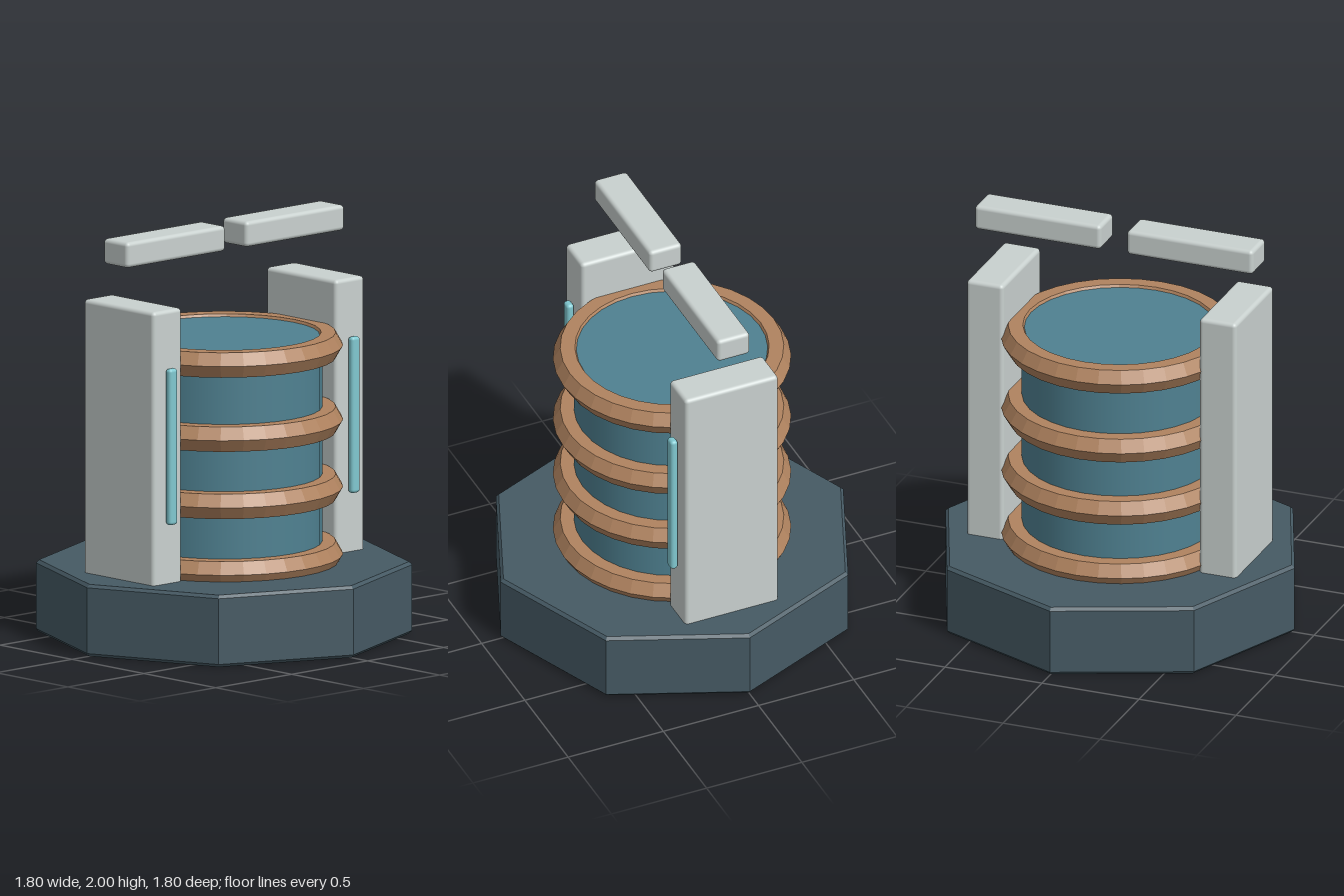
import * as THREE from 'three';
import { RoundedBoxGeometry } from 'three/addons/geometries/RoundedBoxGeometry.js';

export function createModel() {
  const model = new THREE.Group();
  const paint = (color, flatShading = false) => new THREE.MeshStandardMaterial({ color, flatShading });
  const stone = paint(0x465a64, true);
  const glass = paint(0x4f8191);
  const copper = paint(0xb0835f, true);
  const shell = paint(0xc9d1cf);
  const glow = paint(0x80c8d0);

  const add = (name, geometry, material, x, y, z) => {
    const mesh = new THREE.Mesh(geometry, material);
    mesh.name = name;
    mesh.position.set(x, y, z);
    model.add(mesh);
    return mesh;
  };

  // Octagonal base with a small chamfer on its rims
  const baseProfile = [[0, 0], [0.885, 0], [0.9, 0.015], [0.9, 0.335], [0.885, 0.35], [0, 0.35]]
    .map(([r, y]) => new THREE.Vector2(r, y));
  add('base', new THREE.LatheGeometry(baseProfile, 8), stone, 0, 0, 0);

  // Central drum
  add('core', new THREE.CylinderGeometry(0.47, 0.47, 1.1, 32), glass, 0, 0.9, 0);

  // Coil rings with a hexagonal section
  const ringGeometry = new THREE.TorusGeometry(0.5, 0.07, 6, 32).rotateX(Math.PI / 2);
  [0.386, 0.714, 1.041, 1.402].forEach((y, i) => add('coilRing' + (i + 1), ringGeometry, copper, 0, y, 0));

  // Side pillars, their front light strips and the floating bars above
  for (const [side, s] of [['left', 1], ['right', -1]]) {
    add(side + 'Pillar', new RoundedBoxGeometry(0.19, 1.35, 0.49, 3, 0.02), shell, s * 0.6, 1.005, 0);
    add(side + 'LightStrip', new RoundedBoxGeometry(0.055, 0.76, 0.038, 3, 0.016), glow, s * 0.6, 1.02, 0.27);
    add(side + 'FloatingBar', new RoundedBoxGeometry(0.65, 0.124, 0.172, 3, 0.02), shell, s * 0.392, 1.938, 0);
  }

  return model;
}
